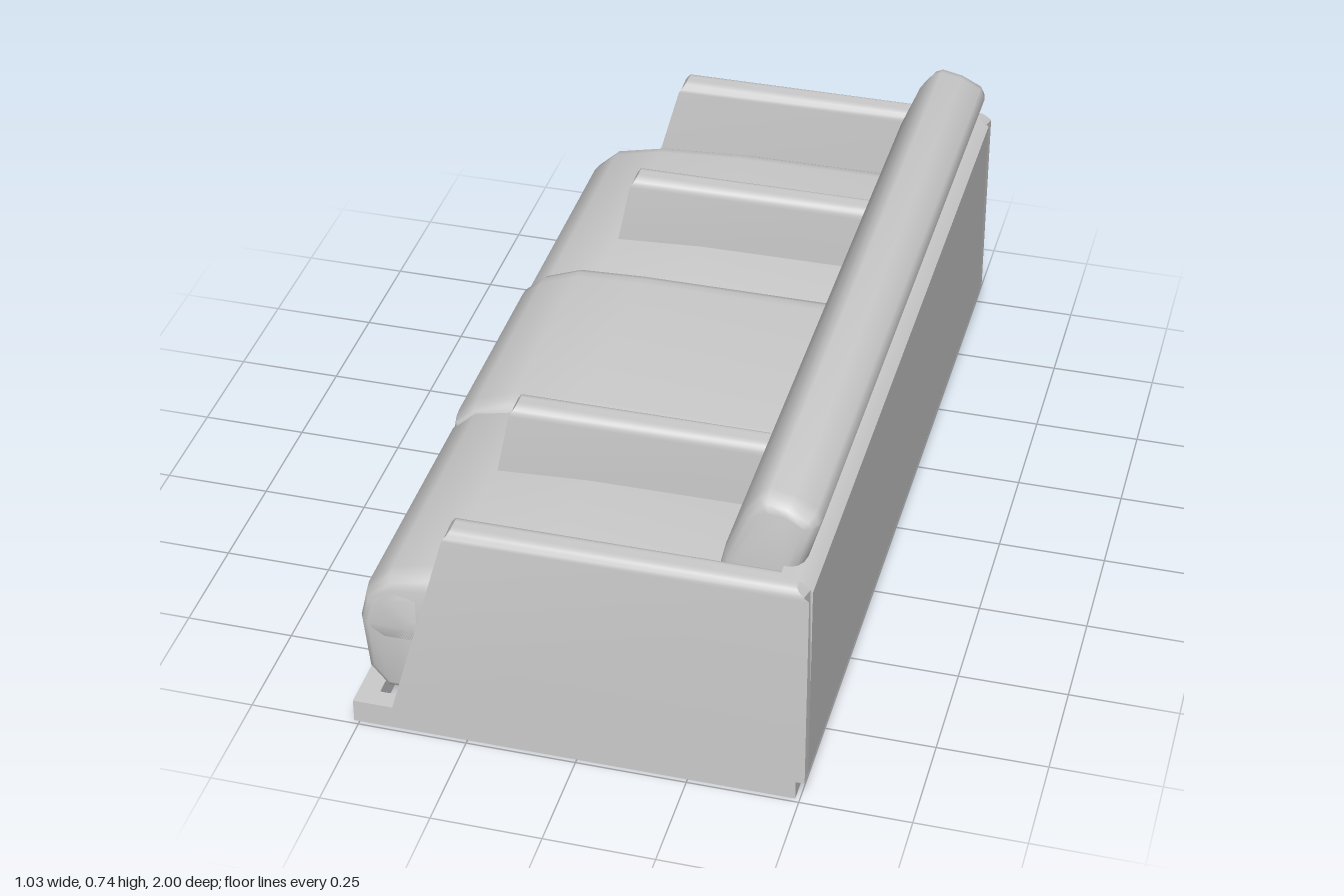
import * as THREE from 'three';
import { toCreasedNormals } from 'three/addons/utils/BufferGeometryUtils.js';

const material = new THREE.MeshStandardMaterial({ color: 0xcccccc, side: THREE.DoubleSide });

const shapeOf = (points) => new THREE.Shape(points.map(([a, b]) => new THREE.Vector2(a, b)));

// Sweep an (x, y) profile along z, with optional softened ends
function sweep(points, z0, z1, soft = 0, end = 0.05) {
  const bevel = soft > 0;
  const thickness = bevel ? end : 0;
  const g = new THREE.ExtrudeGeometry(shapeOf(points), {
    depth: z1 - z0 - 2 * thickness,
    bevelEnabled: bevel,
    bevelSize: soft,
    bevelOffset: -soft,
    bevelThickness: thickness,
    bevelSegments: 3,
  });
  g.translate(0, 0, z0 + thickness);
  return toCreasedNormals(g, 0.75);
}

// Upright panel along x: rounded top edge, leaning front, chamfered top rear corner
function armPanel(width, bottom, top, front, lean, back) {
  const w = width / 2, r = 0.025;
  const s = new THREE.Shape();
  s.moveTo(-w, bottom);
  s.lineTo(w, bottom);
  s.lineTo(w, top - r);
  s.quadraticCurveTo(w, top, w - r, top);
  s.lineTo(-w + r, top);
  s.quadraticCurveTo(-w, top, -w, top - r);
  const g = new THREE.ExtrudeGeometry(s, { depth: 1, bevelEnabled: false, curveSegments: 5 });
  g.rotateY(Math.PI / 2);
  const p = g.attributes.position;
  for (let i = 0; i < p.count; i++) {
    const y = p.getY(i);
    const rise = Math.max(0, y - (top - r));
    const x0 = front + (y - bottom) * lean + rise * 0.4;
    const x1 = back - rise * 1.25;
    p.setX(i, x0 + (x1 - x0) * p.getX(i));
  }
  return toCreasedNormals(g, 0.75);
}

export function createModel() {
  const model = new THREE.Group();
  const add = (name, geometry, x = 0, y = 0, z = 0) => {
    const m = new THREE.Mesh(geometry, material);
    m.name = name;
    m.position.set(x, y, z);
    model.add(m);
  };
  const box = (name, w, h, d, x, y, z) => add(name, new THREE.BoxGeometry(w, h, d), x, y, z);

  // Hollow plinth frame with cross rails and a central floor panel
  const frame = shapeOf([[-0.513, -0.99], [0.49, -0.99], [0.49, 0.99], [-0.513, 0.99]]);
  frame.holes.push(new THREE.Path([[-0.465, -0.945], [-0.465, 0.945], [0.445, 0.945], [0.445, -0.945]]
    .map(([a, b]) => new THREE.Vector2(a, b))));
  const plinth = new THREE.ExtrudeGeometry(frame, { depth: 0.056, bevelEnabled: false });
  plinth.rotateX(-Math.PI / 2);
  add('plinth', plinth);
  box('floorPanel', 0.92, 0.015, 1.06, -0.01, 0.045, 0);
  for (const side of [-1, 1]) {
    box('crossRail', 0.92, 0.05, 0.025, -0.01, 0.028, side * 0.53);
    for (const x of [-0.38, 0.38]) {
      add('bolt', new THREE.CylinderGeometry(0.012, 0.012, 0.025, 10), x, 0.027, side * 0.47);
    }
  }

  // Back panel between the arms, chamfered along the top
  add('backPanel', sweep([[0.43, 0.056], [0.512, 0.056], [0.512, 0.552], [0.481, 0.577], [0.44, 0.577]],
    -0.965, 0.965));

  // Outer arms and the two short inner armrests
  for (const side of [-1, 1]) {
    add('outerArm', armPanel(0.07, 0.056, 0.577, -0.42, 0.275, 0.512), 0, 0, side * 0.965);
    add('innerArmrest', armPanel(0.07, 0.3, 0.575, -0.332, 0.2, 0.34), 0, 0, side * 0.495);
  }

  // Outer seat cushions, each with a bulging front skirt reaching the plinth
  const seat = [[-0.46, 0.18], [-0.505, 0.21], [-0.513, 0.24], [-0.497, 0.315], [-0.44, 0.368], [-0.32, 0.395],
    [-0.1, 0.408], [0.3, 0.41], [0.32, 0.18]];
  const skirt = [[-0.455, 0.056], [-0.35, 0.056], [-0.35, 0.34], [-0.44, 0.36], [-0.497, 0.31],
    [-0.513, 0.24], [-0.5, 0.11]];
  for (const side of [-1, 1]) {
    const [a, b] = side > 0 ? [0.25, 0.935] : [-0.935, -0.25];
    add('outerSeat', sweep(seat, a, b, 0.03, 0.05));
    const [c, d] = side > 0 ? [0.52, 0.935] : [-0.935, -0.52];
    add('seatSkirt', sweep(skirt, c, d, 0.025, 0.05));
  }

  // Raised middle seat, undercut at the front above a slanted panel
  add('middleSeat', sweep([[-0.4, 0.21], [-0.48, 0.26], [-0.502, 0.305], [-0.497, 0.335], [-0.45, 0.376],
    [-0.36, 0.41], [-0.2, 0.417], [0.3, 0.417], [0.32, 0.21]], -0.3, 0.3, 0.015, 0.05));
  add('frontPanel', sweep([[-0.46, 0.056], [-0.43, 0.056], [-0.37, 0.23], [-0.4, 0.23]], -0.55, 0.55));

  // Long backrest cushion with a rounded top
  add('backrest', sweep([[0.25, 0.34], [0.45, 0.34], [0.455, 0.5], [0.482, 0.577], [0.512, 0.68], [0.5, 0.705],
    [0.45, 0.73], [0.4, 0.74], [0.38, 0.73], [0.35, 0.69], [0.305, 0.577], [0.275, 0.44]],
  -0.925, 0.925, 0.03, 0.045));

  return model;
}
